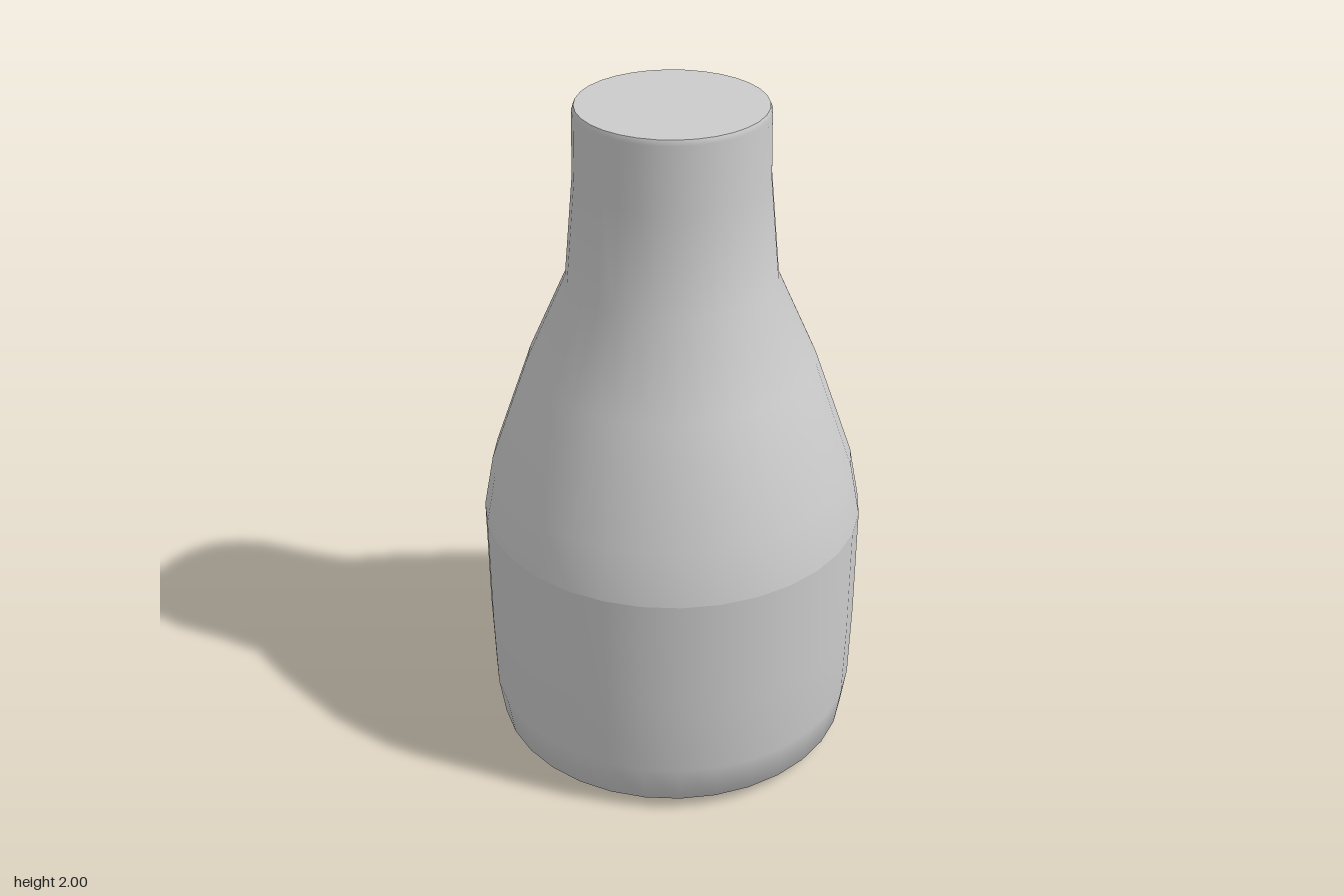
import * as THREE from 'three';

const SIDES = 32;

export function createModel() {
  const group = new THREE.Group();
  group.name = 'bottle';
  const material = new THREE.MeshStandardMaterial({ color: 0xcccccc });

  // Each part is a turned profile of [radius, height], listed from bottom to top
  const turn = (name, profile) => {
    const points = profile.map(([r, y]) => new THREE.Vector2(r, y));
    const mesh = new THREE.Mesh(new THREE.LatheGeometry(points, SIDES), material);
    mesh.name = name;
    group.add(mesh);
  };

  // Flat underside
  turn('base', [[0, 0], [0.3, 0.003], [0.47, 0.012]]);

  // Straight lower body with a rounded foot
  turn('body', [[0.47, 0.012], [0.535, 0.04], [0.553, 0.16], [0.559, 0.4], [0.56, 0.75]]);

  // Tapering shoulder running into the neck, creased where it meets the body
  turn('shoulderAndNeck', [
    [0.56, 0.75], [0.53, 0.91], [0.415, 1.24], [0.3, 1.5],
    [0.273, 1.8], [0.27, 1.985], [0.264, 2],
  ]);

  // Closed flat top
  turn('topCap', [[0.264, 2], [0, 2]]);

  return group;
}
